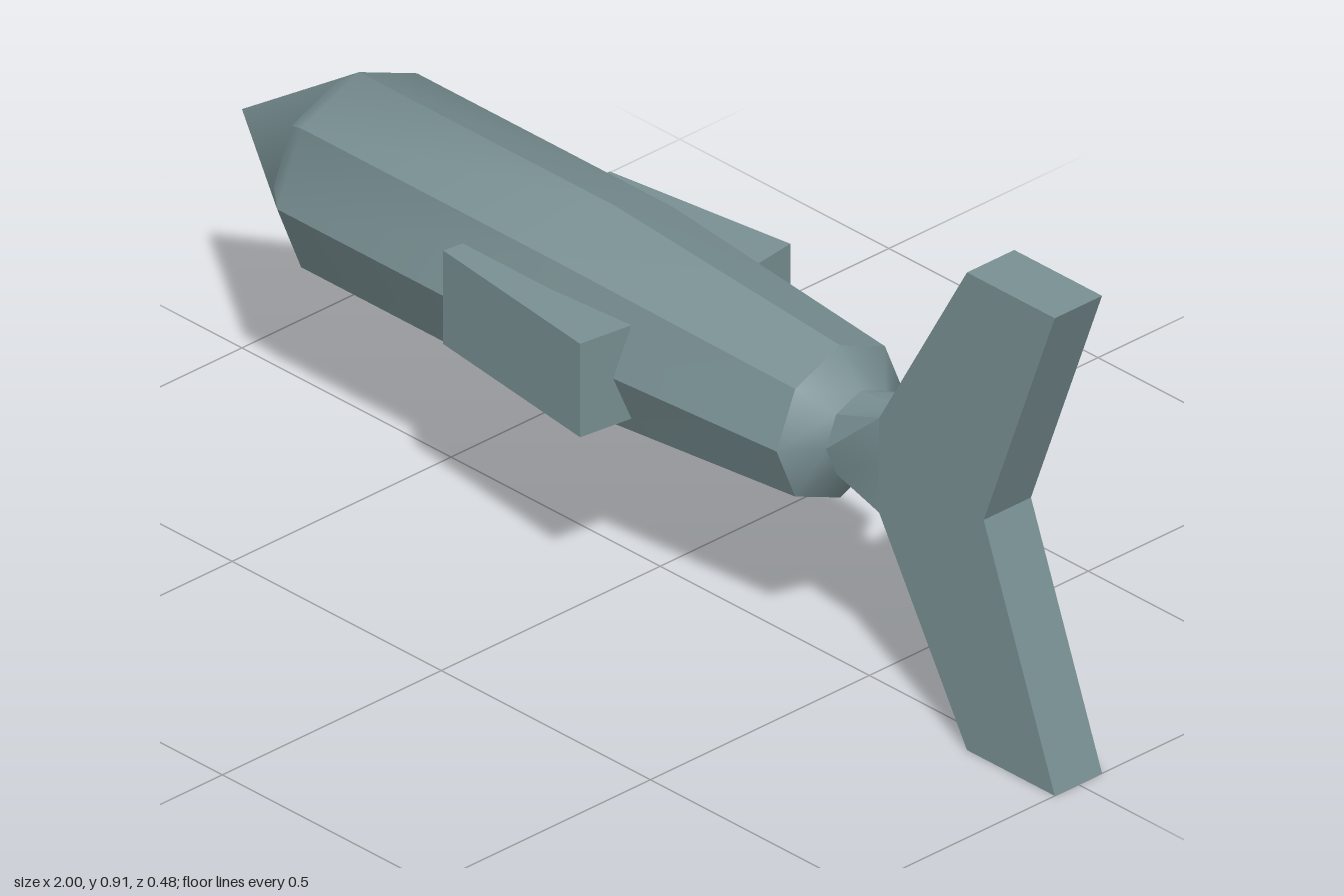
import * as THREE from 'three';
import { toCreasedNormals } from 'three/addons/utils/BufferGeometryUtils.js';

const CENTER_Y = 0.455;

export function createModel() {
  const group = new THREE.Group();
  const slate = new THREE.MeshStandardMaterial({ color: 0x788f92 });
  slate.name = 'slate';

  const add = (name, geometry) => {
    const mesh = new THREE.Mesh(geometry, slate);
    mesh.name = name;
    mesh.position.y = CENTER_Y;
    group.add(mesh);
    return mesh;
  };

  // Eight-sided body: chamfered ends, tapering towards the tail
  const profile = [[0, -0.77], [0.15, -0.77], [0.187, -0.72], [0.187, -0.11], [0.145, 0.43], [0.08, 0.48], [0, 0.48]]
    .map(([r, x]) => new THREE.Vector2(r, x));
  const body = new THREE.LatheGeometry(profile, 8).rotateZ(-Math.PI / 2);
  add('body', toCreasedNormals(body, Math.PI / 5));

  // Smooth-shaded four-sided nose, its corners on the body's corners
  const nose = new THREE.ConeGeometry(0.187, 0.28, 4).rotateZ(Math.PI / 2);
  add('nose', nose).position.x = -0.86;

  // Neck: octagonal ring blended into the tail's rectangular root
  const root = [[0.09, 0], [0.09, 0.054], [0, 0.054], [-0.09, 0.054], [-0.09, 0], [-0.09, -0.054], [0, -0.054], [0.09, -0.054]];
  const front = root.map((_, i) => [0.48, 0.08 * Math.cos(i * Math.PI / 4), 0.08 * Math.sin(i * Math.PI / 4)]);
  const back = root.map(([y, z]) => [0.58, y, z]);
  const corners = [];
  for (let i = 0; i < 8; i++) {
    const j = (i + 1) % 8;
    corners.push(front[i], front[j], back[i], back[i], front[j], back[j]);
  }
  const neck = new THREE.BufferGeometry();
  neck.setAttribute('position', new THREE.Float32BufferAttribute(corners.flat(), 3));
  neck.computeVertexNormals();
  // Make sure the neck's faces point outwards
  const p = neck.attributes.position, n = neck.attributes.normal;
  if (n.getY(0) * p.getY(0) + n.getZ(0) * p.getZ(0) < 0) {
    for (let t = 0; t < corners.length; t += 3) {
      [corners[t + 1], corners[t + 2]] = [corners[t + 2], corners[t + 1]];
    }
    neck.setAttribute('position', new THREE.Float32BufferAttribute(corners.flat(), 3));
    neck.computeVertexNormals();
  }
  add('neck', toCreasedNormals(neck, Math.PI / 6));

  // Forked tail fin
  const outline = [[0.58, -0.09], [0.79, -0.455], [1, -0.455], [0.83, 0], [1, 0.455], [0.79, 0.455], [0.58, 0.09]];
  const tailShape = new THREE.Shape(outline.map(([x, y]) => new THREE.Vector2(x, y)));
  const tail = new THREE.ExtrudeGeometry(tailShape, { depth: 0.108, bevelEnabled: false });
  add('tailFin', tail.translate(0, 0, -0.054));

  // Side fins flaring outwards towards the rear
  const flare = 0.131;
  for (const side of [1, -1]) {
    const fin = add(side > 0 ? 'frontSideFin' : 'backSideFin', new THREE.BoxGeometry(0.383, 0.178, 0.12));
    fin.position.x = -0.13 + 0.06 * Math.sin(flare);
    fin.position.z = side * (0.215 - 0.06 * Math.cos(flare));
    fin.rotation.y = -side * flare;
  }

  return group;
}
